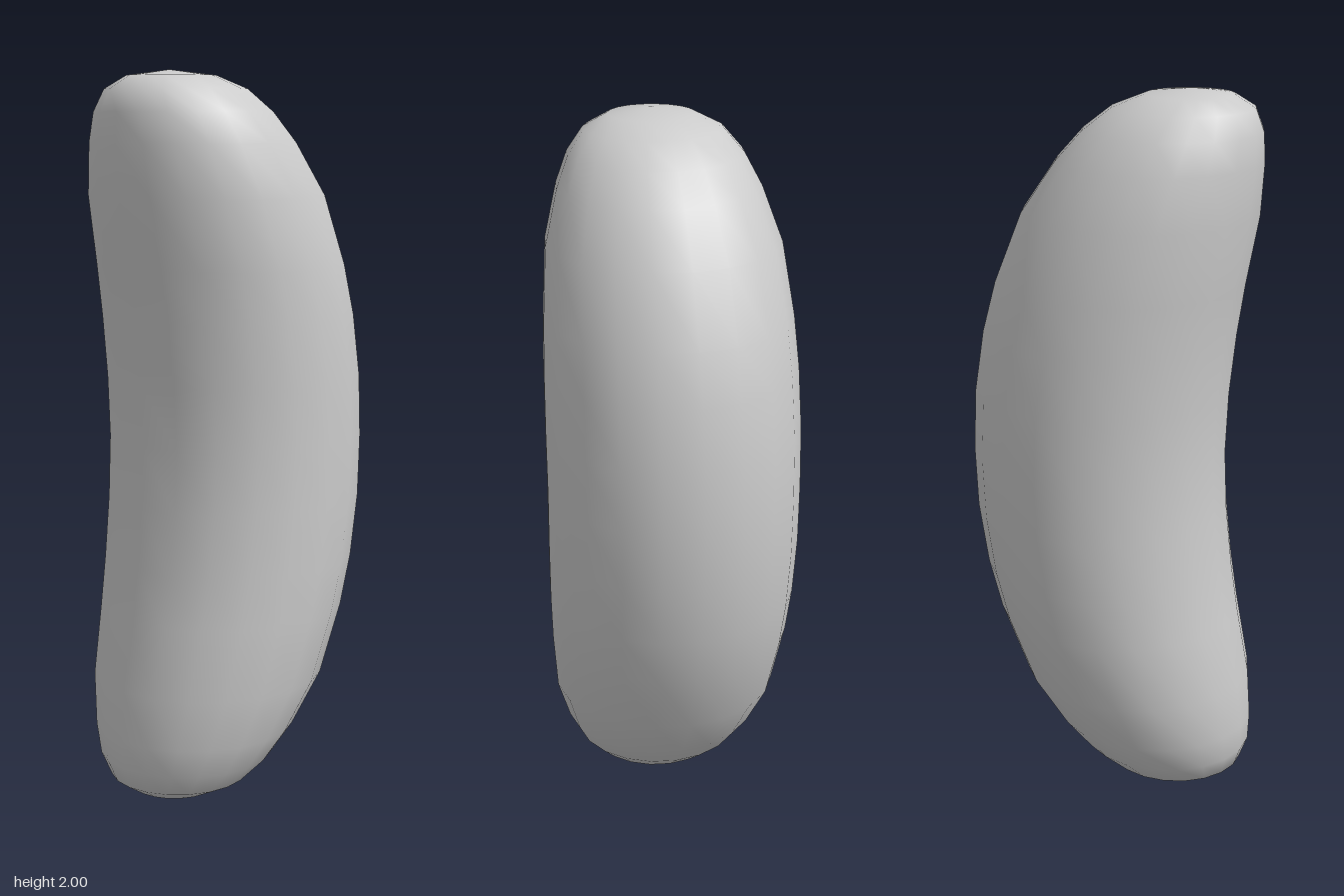
import * as THREE from 'three';
import { mergeVertices } from 'three/addons/utils/BufferGeometryUtils.js';

// [height from the middle, radius] for the upper half, middle to tip
const HALF = [
  [0, 0.355], [0.17, 0.355], [0.34, 0.351], [0.48, 0.343], [0.67, 0.323],
  [0.81, 0.28], [0.89, 0.242], [0.95, 0.192], [0.985, 0.12], [1, 0],
];

export function createModel() {
  const group = new THREE.Group();
  group.name = 'bean';

  // Round profile, mirrored about the middle
  const lower = HALF.slice(1).reverse().map(([t, r]) => [-t, r]);
  const profile = [...lower, ...HALF].map(([t, r]) => new THREE.Vector2(r, t));
  let geometry = new THREE.LatheGeometry(profile, 20);

  // Bend: slide each ring sideways along a parabola
  const pos = geometry.attributes.position;
  for (let i = 0; i < pos.count; i++) {
    const t = pos.getY(i);
    pos.setX(i, pos.getX(i) + 0.05 - 0.25 * t * t);
    pos.setY(i, t + 1);
  }

  // Weld the seam and the tips for smooth shading
  geometry.deleteAttribute('uv');
  geometry.deleteAttribute('normal');
  geometry = mergeVertices(geometry, 1e-4);
  geometry.computeVertexNormals();

  const body = new THREE.Mesh(geometry, new THREE.MeshStandardMaterial({ color: 0xcccccc }));
  body.name = 'beanBody';
  group.add(body);
  return group;
}
